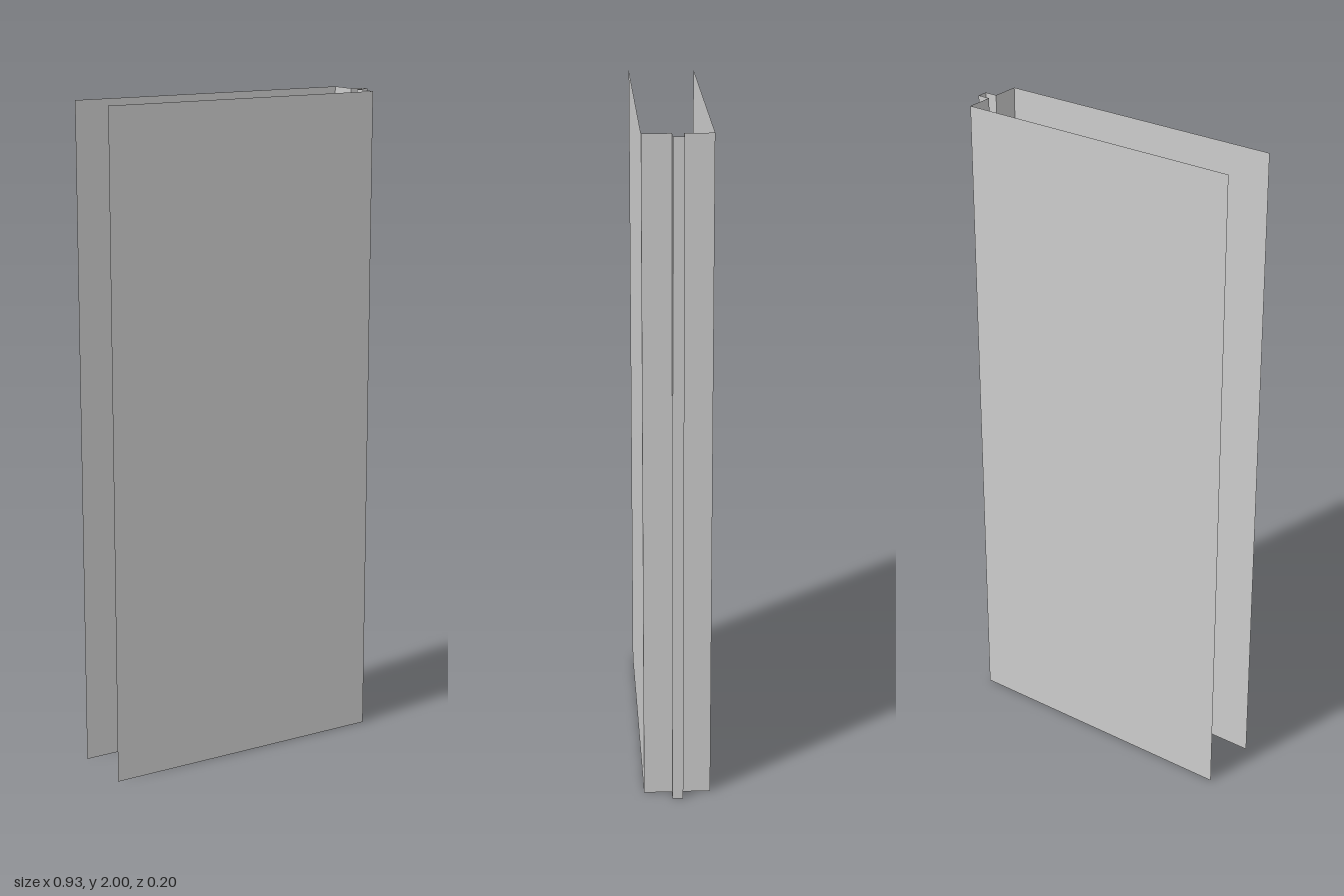
import * as THREE from 'three';

const HEIGHT = 2;
const END = -0.464;     // open edge of the two faces
const EDGE = 0.425;     // edge that carries the tongue
const TIP = 0.464;      // outer end of the tongue
const HALF = 0.099;     // half the panel thickness
const TONGUE = 0.016;   // half the tongue thickness

// Thin sheet profile in plan [x, z], from the open front edge round to the back
const PROFILE = [
  ['frontFace', [END, HALF], [EDGE, HALF]],
  ['frontEdgeStrip', [EDGE, HALF], [EDGE, TONGUE]],
  ['tongueFront', [EDGE, TONGUE], [TIP, TONGUE]],
  ['tongueEnd', [TIP, TONGUE], [TIP, -TONGUE]],
  ['tongueBack', [TIP, -TONGUE], [EDGE, -TONGUE]],
  ['backEdgeStrip', [EDGE, -TONGUE], [EDGE, -HALF]],
  ['backFace', [EDGE, -HALF], [END, -HALF]],
];

// Upright sheet between two plan points, facing outwards
function sheet(name, [x0, z0], [x1, z1], material) {
  const dx = x1 - x0, dz = z1 - z0;
  const mesh = new THREE.Mesh(new THREE.PlaneGeometry(Math.hypot(dx, dz), HEIGHT), material);
  mesh.name = name;
  mesh.position.set((x0 + x1) / 2, HEIGHT / 2, (z0 + z1) / 2);
  mesh.rotation.y = Math.atan2(-dz, dx);
  return mesh;
}

export function createModel() {
  const model = new THREE.Group();
  model.name = 'wallPanel';
  const material = new THREE.MeshStandardMaterial({ color: 0xcccccc, side: THREE.DoubleSide });
  for (const [name, from, to] of PROFILE) model.add(sheet(name, from, to, material));
  return model;
}
